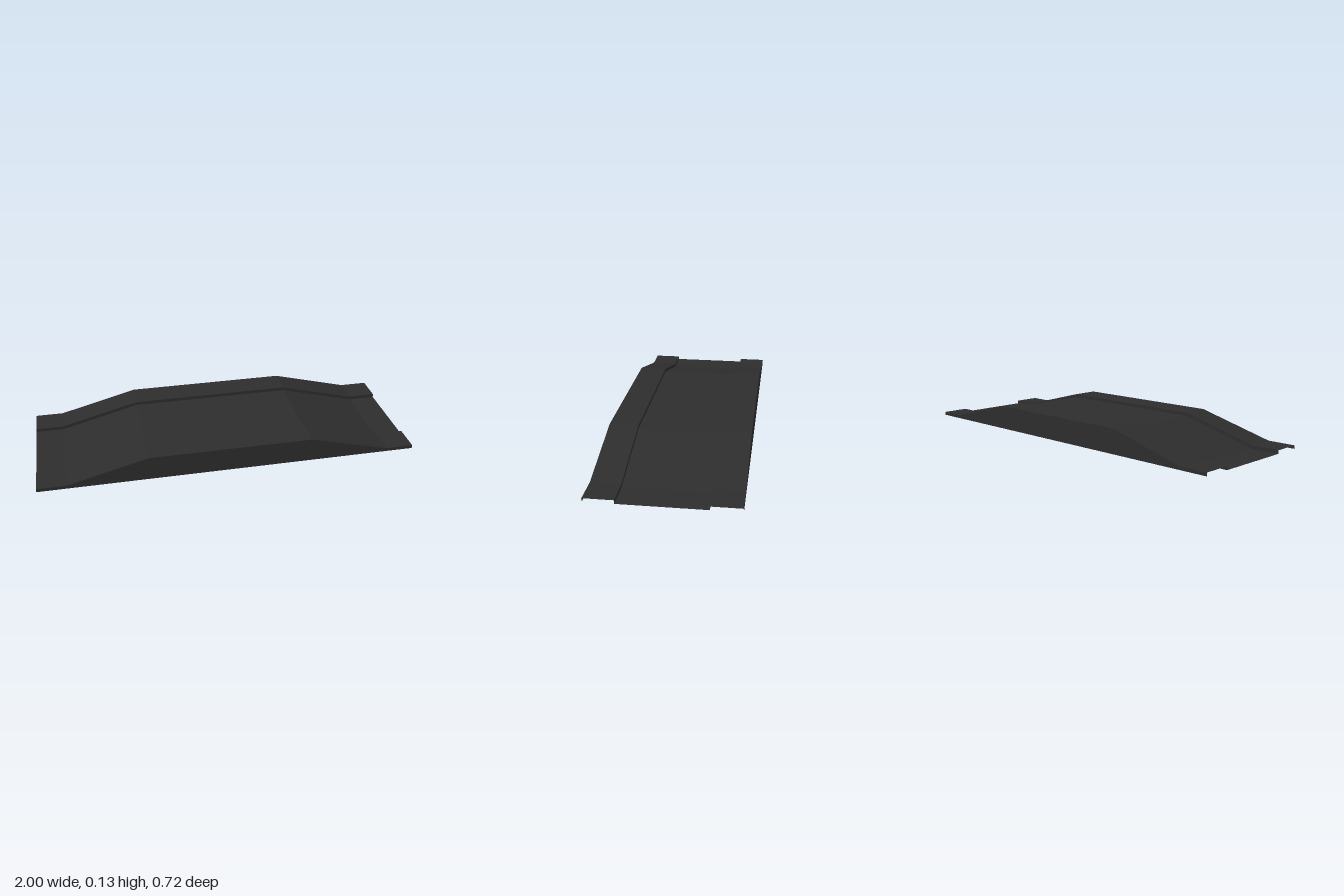
import * as THREE from 'three';

export function createModel() {
  const model = new THREE.Group();
  model.name = 'ramp';
  const darkRubber = new THREE.MeshStandardMaterial({ color: 0x2d2d2d, side: THREE.DoubleSide, flatShading: true });
  darkRubber.name = 'darkRubber';

  // Height of the raised edges along the ramp: [x, y]
  const profile = [[-1, 0.018], [-0.85, 0.018], [-0.43, 0.128], [0.43, 0.128], [0.85, 0.018], [1, 0.018]];
  const outer = 0.36, inner = 0.212, drop = 0.018;

  // Sheet between two rails, each given as a z and a rule for height
  function addSheet(name, zA, heightA, zB, heightB) {
    const points = [];
    for (let i = 0; i < profile.length - 1; i++) {
      const [x0, h0] = profile[i], [x1, h1] = profile[i + 1];
      const a0 = [x0, heightA(h0), zA], a1 = [x1, heightA(h1), zA];
      const b0 = [x0, heightB(h0), zB], b1 = [x1, heightB(h1), zB];
      points.push(...a0, ...a1, ...b1, ...a0, ...b1, ...b0);
    }
    const geometry = new THREE.BufferGeometry();
    geometry.setAttribute('position', new THREE.Float32BufferAttribute(points, 3));
    geometry.computeVertexNormals();
    const mesh = new THREE.Mesh(geometry, darkRubber);
    mesh.name = name;
    model.add(mesh);
  }

  const ground = () => 0;
  const top = h => h;
  const sunken = h => h - drop;

  // Cross-section from the front skirt over the deck to the back skirt
  addSheet('frontSkirt', outer, ground, outer, top);
  addSheet('frontEdge', outer, top, inner, top);
  addSheet('frontStep', inner, top, inner, sunken);
  addSheet('deck', inner, sunken, -inner, sunken);
  addSheet('backStep', -inner, sunken, -inner, top);
  addSheet('backEdge', -inner, top, -outer, top);
  addSheet('backSkirt', -outer, top, -outer, ground);

  return model;
}
